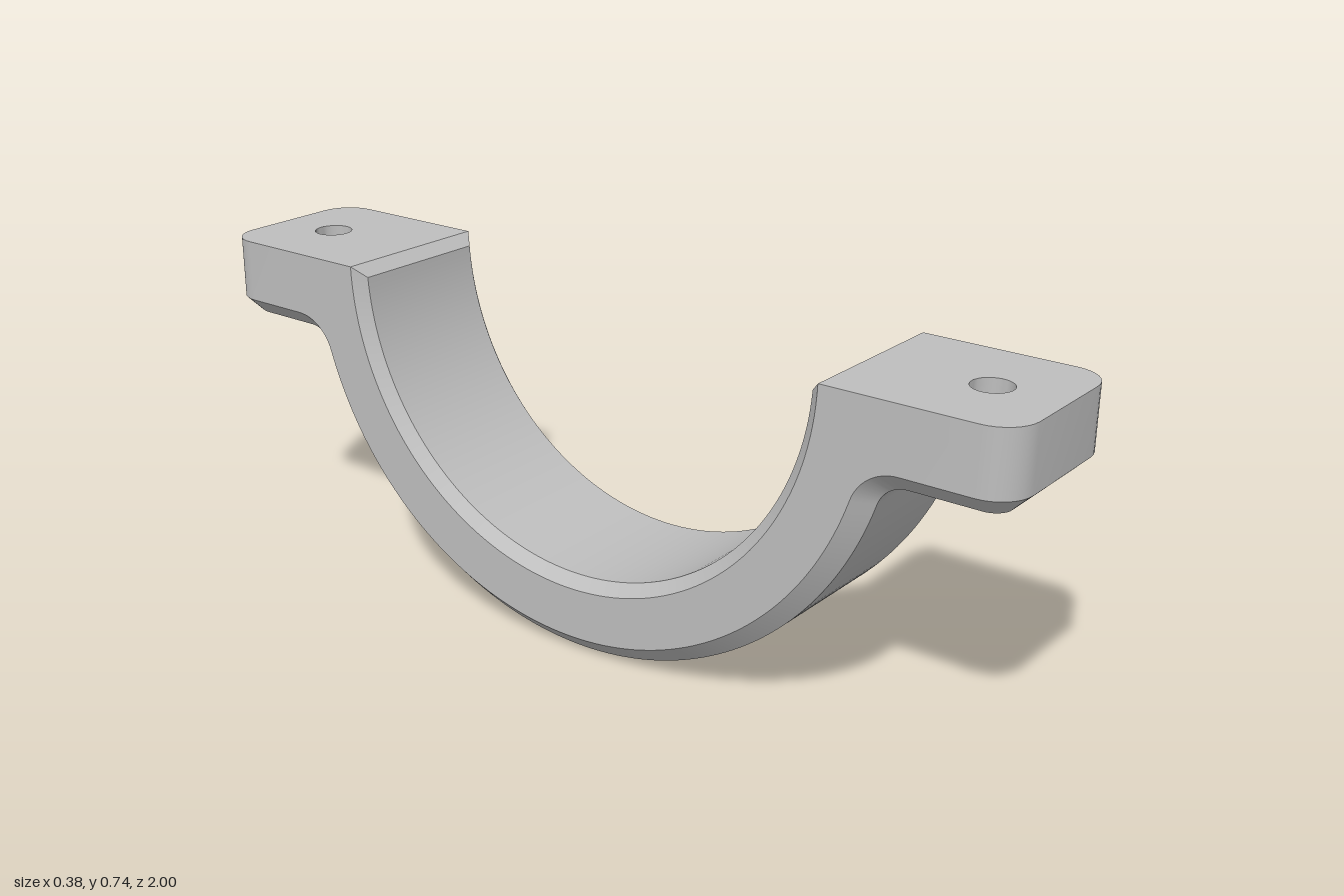
import * as THREE from 'three';
import { mergeGeometries, toCreasedNormals } from 'three/addons/utils/BufferGeometryUtils.js';

const HALF = 0.1875;            // half width
const TOP = 0.7375;             // height of the clamping face
const CY = 0.75;                // centre of the bore
const R_IN = 0.575, IN_CH = 0.025;
const R_OUT = 0.75, OUT_CH = 0.0375;
const EAR_Y = 0.5625;           // underside of the ears
const FILLET = 0.065;
const FILLET_Y = EAR_Y - FILLET;
const FILLET_Z = Math.sqrt((R_OUT + FILLET) ** 2 - (CY - FILLET_Y) ** 2);
const BOLT_Z = 0.85;

// Skin a list of equally long rows of points
function loft(rows) {
  const pos = [];
  const tri = (a, b, c) => {
    const n = b.clone().sub(a).cross(c.clone().sub(a));
    if (n.length() > 1e-9) for (const p of [a, b, c]) pos.push(p.x, p.y, p.z);
  };
  for (let i = 0; i < rows.length - 1; i++) {
    for (let j = 0; j < rows[i].length - 1; j++) {
      const a = rows[i][j], b = rows[i][j + 1], c = rows[i + 1][j + 1], d = rows[i + 1][j];
      tri(a, b, c);
      tri(a, c, d);
    }
  }
  const g = new THREE.BufferGeometry();
  g.setAttribute('position', new THREE.Float32BufferAttribute(pos, 3));
  return g;
}

// Flat horizontal face with a hole; points are (x, z)
function cap(outline, hole, y, up) {
  const s = up ? -1 : 1;
  const flip = (pts) => pts.map((p) => new THREE.Vector2(p.x, s * p.y));
  const shape = new THREE.Shape(flip(outline));
  shape.holes.push(new THREE.Path(flip(hole)));
  const g = new THREE.ShapeGeometry(shape).toNonIndexed();
  g.deleteAttribute('uv');
  g.deleteAttribute('normal');
  return g.rotateX(s * Math.PI / 2).translate(0, y, 0);
}

const atHeight = (pts, y) => pts.map((p) => new THREE.Vector3(p.x, y, p.y));

function ring(r, sides, start = 0) {
  return Array.from({ length: sides }, (_, i) => {
    const a = start + (i / sides) * Math.PI * 2;
    return new THREE.Vector2(r * Math.cos(a), BOLT_Z + r * Math.sin(a));
  });
}

// Inward-facing wall of a hole
function holeWall(pts, y0, y1) {
  const closed = [...pts, pts[0]];
  return loft([atHeight(closed, y0), atHeight(closed, y1)]);
}

// Half of the saddle, from the lowest point up to the start of the ear
function archGeometry() {
  const rows = [];
  const polar = (r, a) => [CY - r * Math.cos(a), r * Math.sin(a)];
  // each argument is [y, z]; xi is the half width of the bore face
  const section = (outer, sideOuter, sideInner, inner, xi) => {
    const half = [[HALF - OUT_CH, outer], [HALF, sideOuter], [HALF, sideInner], [xi, inner]];
    const right = half.map(([x, p]) => new THREE.Vector3(x, ...p));
    const left = half.map(([x, p]) => new THREE.Vector3(-x, ...p)).reverse();
    rows.push([...right, ...left, right[0]]);
  };
  const tangent = Math.asin(FILLET_Z / (R_OUT + FILLET));
  const rSide = R_IN + IN_CH;
  const endSide = Math.acos((CY - TOP) / rSide);
  const endIn = Math.acos((CY - TOP + IN_CH) / R_IN);
  const N = 44, M = 12;
  for (let i = 0; i <= N; i++) {
    const t = i / N;
    section(polar(R_OUT, t * tangent), polar(R_OUT - OUT_CH, t * tangent),
      polar(rSide, t * endSide), polar(R_IN, t * endIn), HALF - IN_CH);
  }
  // fillet below, flat clamping face above
  const zEdge = rSide * Math.sin(endSide);
  for (let i = 0; i <= M; i++) {
    const t = i / M, a = tangent * (1 - t);
    const curve = (r) => [FILLET_Y + r * Math.cos(a), FILLET_Z - r * Math.sin(a)];
    const top = [TOP, zEdge + (FILLET_Z - zEdge) * t];
    section(curve(FILLET), curve(FILLET + OUT_CH), top, top, HALF);
  }
  return toCreasedNormals(loft(rows), 0.5);
}

// Bolt ear: rounded end, chamfered underside, bolt hole and nut pocket
function earGeometry() {
  const outline = (inset) => {
    const r = 0.075 - inset, w = HALF - inset, end = 1 - inset;
    const pts = [new THREE.Vector2(w, FILLET_Z)];
    for (const side of [1, -1]) {
      for (let i = 0; i <= 8; i++) {
        const a = ((side > 0 ? i : 8 - i) / 8) * Math.PI / 2;
        pts.push(new THREE.Vector2(side * (w - r + r * Math.cos(a)), end - r + r * Math.sin(a)));
      }
    }
    pts.push(new THREE.Vector2(-w, FILLET_Z));
    return pts;
  };
  const full = outline(0), low = outline(OUT_CH);
  const bolt = ring(0.042, 32), nut = ring(0.074, 6, Math.PI / 6);
  const pocketY = EAR_Y + 0.1;
  return toCreasedNormals(mergeGeometries([
    loft([atHeight(full, TOP), atHeight(full, EAR_Y + OUT_CH), atHeight(low, EAR_Y)]),
    cap(full, bolt, TOP, true),
    cap(low, nut, EAR_Y, false),
    cap(nut, bolt, pocketY, false),
    holeWall(nut, EAR_Y, pocketY),
    holeWall(bolt, pocketY, TOP),
  ]), 0.5);
}

export function createModel() {
  const model = new THREE.Group();
  model.name = 'pipeClampHalf';
  const grey = new THREE.MeshStandardMaterial({ color: 0xbebebe });
  grey.name = 'grey';
  const arch = archGeometry(), ear = earGeometry();
  // the two ends are the same half turned about the vertical axis
  for (const [name, turn] of [['front', 0], ['back', Math.PI]]) {
    const half = new THREE.Group();
    half.name = name + 'Half';
    half.rotation.y = turn;
    for (const [part, geometry] of [['Arch', arch], ['Ear', ear]]) {
      const mesh = new THREE.Mesh(geometry, grey);
      mesh.name = name + part;
      half.add(mesh);
    }
    model.add(half);
  }
  return model;
}
